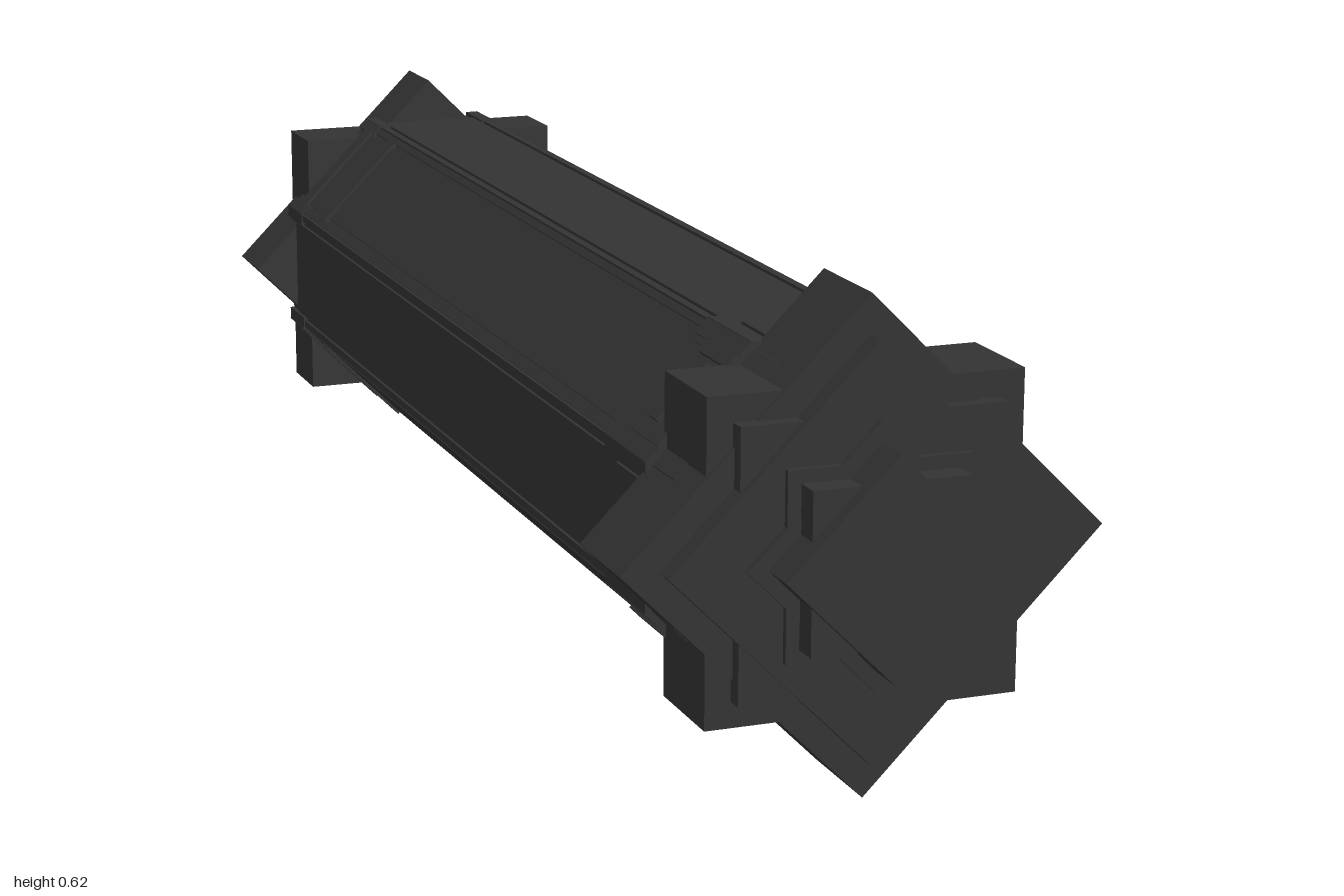
import * as THREE from 'three';

const CENTER_Y = 0.312;
const APOTHEM = 0.221;                       // body octagon
const HALF_SIDE = APOTHEM * Math.tan(Math.PI / 8);

export function createModel() {
  const model = new THREE.Group();
  model.name = 'octagonalCanister';
  const darkGrey = new THREE.MeshStandardMaterial({ color: 0x333333 });
  darkGrey.name = 'darkGrey';

  const core = new THREE.Group();
  core.name = 'core';
  core.position.y = CENTER_Y;
  model.add(core);

  function add(parent, name, geometry) {
    const mesh = new THREE.Mesh(geometry, darkGrey);
    mesh.name = name;
    parent.add(mesh);
    return mesh;
  }

  // Box given by its limits on each axis
  function box(parent, name, x0, x1, y0, y1, z0, z1) {
    const mesh = add(parent, name, new THREE.BoxGeometry(x1 - x0, y1 - y0, z1 - z0));
    mesh.position.set((x0 + x1) / 2, (y0 + y1) / 2, (z0 + z1) / 2);
    return mesh;
  }

  // Square slab across the long axis, upright or turned to a diamond
  function square(name, half, z0, z1) {
    return box(core, name, -half, half, -half, half, z0, z1);
  }
  function diamond(name, halfDiagonal, z0, z1) {
    square(name, halfDiagonal / Math.SQRT2, z0, z1).rotation.z = Math.PI / 4;
  }

  // Octagonal body
  const body = new THREE.CylinderGeometry(
    APOTHEM / Math.cos(Math.PI / 8), APOTHEM / Math.cos(Math.PI / 8), 1.7, 8).toNonIndexed();
  body.rotateX(Math.PI / 2);
  body.rotateZ(Math.PI / 8);
  body.computeVertexNormals();
  add(core, 'body', body);

  // Chamfered panel outline in the plane of a body face
  function panelGeometry(w, z0, z1, c, depth) {
    const s = new THREE.Shape([
      [-w + c, -z1], [w - c, -z1], [w, -z1 + c], [w, -z0 - c],
      [w - c, -z0], [-w + c, -z0], [-w, -z0 - c], [-w, -z1 + c],
    ].map(([x, y]) => new THREE.Vector2(x, y)));
    const g = new THREE.ExtrudeGeometry(s, { depth, bevelEnabled: false });
    g.rotateX(-Math.PI / 2);
    return g;
  }

  for (let i = 0; i < 8; i++) {
    const side = new THREE.Group();
    side.name = 'side' + i;
    side.rotation.z = i * Math.PI / 4;
    core.add(side);

    // Raised face panel
    add(side, 'facePanel', panelGeometry(0.074, -0.82, 0.78, 0.015, 0.004)).position.y = APOTHEM;

    for (const s of [-1, 1]) {
      // Edge rail and its thicker ends, along each border of the face
      const part = (name, a, b, h, z0, z1) =>
        box(side, name, Math.min(s * a, s * b), Math.max(s * a, s * b), APOTHEM - 0.02, APOTHEM + h, z0, z1);
      part('edgeRail', 0.081, HALF_SIDE, 0.004, -0.84, 0.78);
      part('backRailEnd', 0.076, 0.095, 0.006, -0.85, -0.77);
      part('frontClamp', 0.07, 0.096, 0.009, 0.64, 0.78);
      part('frontClampStep', 0.052, 0.072, 0.013, 0.69, 0.78);
      part('clampTooth', 0.06, 0.074, 0.007, 0.655, 0.675);
    }

    // Bands and cleats on the slanted faces only
    if (i % 2) {
      for (const [z0, z1] of [[-0.69, -0.66], [-0.81, -0.78]])
        box(side, 'backBand', -0.082, 0.082, APOTHEM - 0.01, APOTHEM + 0.008, z0, z1);
      for (const s of [-1, 1])
        box(side, 'cleat', s * 0.035 - 0.012, s * 0.035 + 0.012, APOTHEM - 0.01, APOTHEM + 0.012, 0.7, 0.73);
    }
  }

  // Front cap: stepped eight-pointed stars
  diamond('frontCapCollar', 0.29, 0.752, 0.78);
  square('frontCapCollar', 0.188, 0.752, 0.78);
  diamond('frontCapDiamond', 0.311, 0.772, 0.91);
  square('frontCapSquare', 0.203, 0.772, 0.905);
  diamond('frontStepDiamond', 0.262, 0.9, 0.938);
  square('frontStepSquare', 0.17, 0.9, 0.928);
  diamond('frontStarDiamond', 0.167, 0.93, 0.947);
  square('frontStarSquare', 0.118, 0.93, 0.946);
  square('frontKnobSquare', 0.101, 0.94, 0.98);
  diamond('frontKnobDiamond', 0.141, 0.94, 1);

  // Back cap: shallower stars ending in a round hub
  diamond('backCapDiamond', 0.29, -0.915, -0.81);
  square('backCapSquare', 0.203, -0.912, -0.81);
  diamond('backStepDiamond', 0.258, -0.94, -0.9);
  square('backStepSquare', 0.172, -0.938, -0.9);
  diamond('backStarDiamond', 0.21, -0.965, -0.93);
  square('backStarSquare', 0.14, -0.963, -0.93);
  diamond('backInnerDiamond', 0.155, -0.975, -0.95);
  square('backInnerSquare', 0.1, -0.984, -0.95);

  // Four short ridges framing the hub
  for (let i = 0; i < 4; i++) {
    const ridge = new THREE.Group();
    ridge.name = 'hubRidge' + i;
    ridge.rotation.z = i * Math.PI / 2;
    core.add(ridge);
    box(ridge, 'ridge', -0.05, 0.05, 0.06, 0.072, -0.991, -0.98);
  }
  const hub = add(core, 'backHub', new THREE.CylinderGeometry(0.038, 0.038, 0.04, 16));
  hub.rotation.x = Math.PI / 2;
  hub.position.z = -0.98;

  return model;
}
